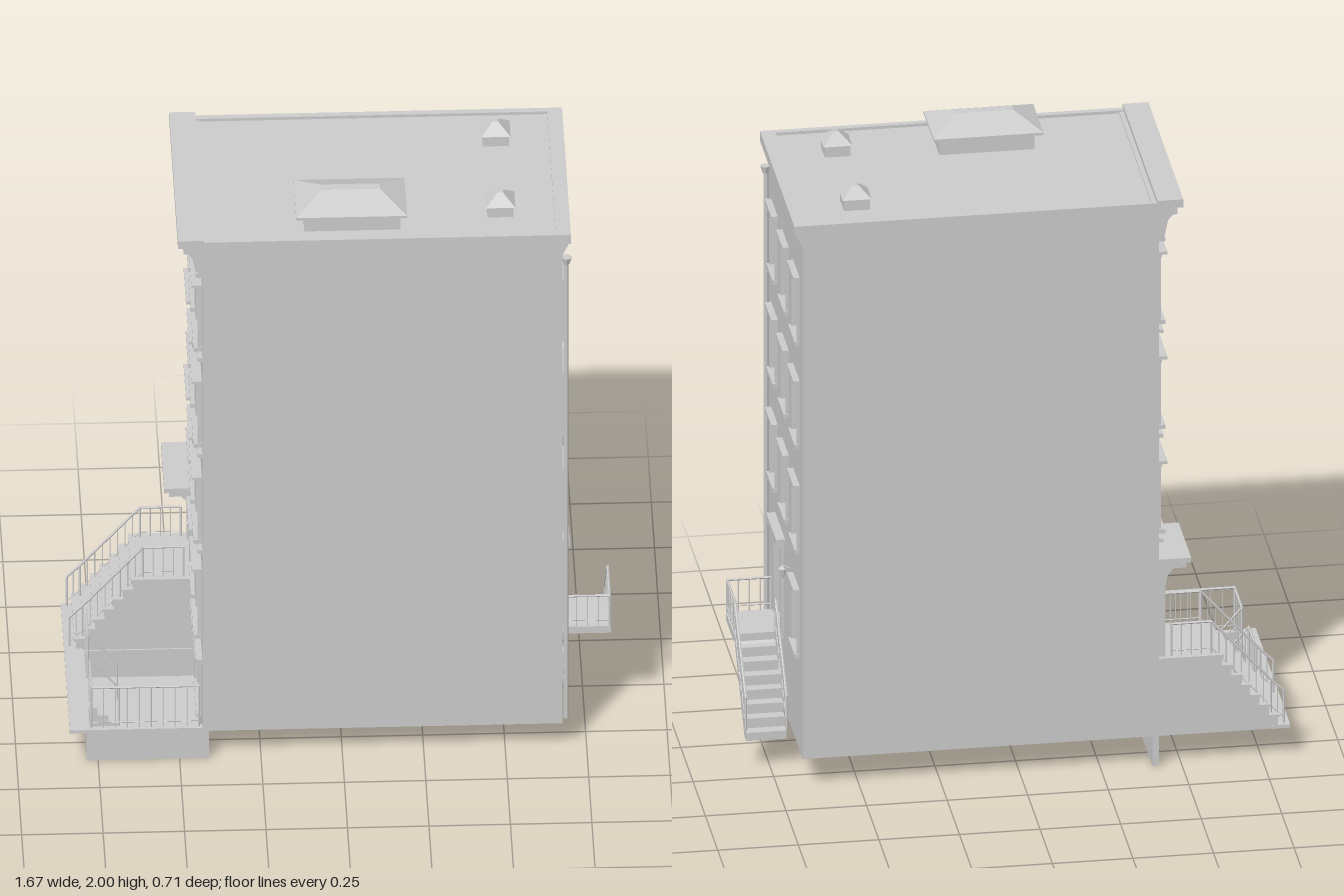
import * as THREE from 'three';

const mat = new THREE.MeshStandardMaterial({ color: 0xcccccc, side: THREE.DoubleSide, flatShading: true });
const V = (x, y, z) => new THREE.Vector3(x, y, z);

function add(parent, name, geo, x = 0, y = 0, z = 0) {
  const m = new THREE.Mesh(geo, mat);
  m.name = name;
  m.position.set(x, y, z);
  parent.add(m);
  return m;
}

// Box given by its lower and upper limits
function box(parent, name, x0, x1, y0, y1, z0, z1) {
  return add(parent, name, new THREE.BoxGeometry(x1 - x0, y1 - y0, z1 - z0), (x0 + x1) / 2, (y0 + y1) / 2, (z0 + z1) / 2);
}

// Round bar between two points
function bar(parent, name, a, b, r = 0.003) {
  const d = b.clone().sub(a);
  const m = add(parent, name, new THREE.CylinderGeometry(r, r, d.length(), 6));
  m.position.copy(a).addScaledVector(d, 0.5);
  m.quaternion.setFromUnitVectors(V(0, 1, 0), d.normalize());
}

// Railing along foot points: rails and evenly spaced balusters
function railing(parent, name, pts, h = 0.11, gap = 0.035) {
  const g = new THREE.Group();
  g.name = name;
  parent.add(g);
  const up = (p, k) => p.clone().add(V(0, k, 0));
  for (let i = 0; i + 1 < pts.length; i++) {
    const a = pts[i], b = pts[i + 1];
    bar(g, 'topRail', up(a, h), up(b, h), 0.004);
    bar(g, 'bottomRail', up(a, 0.02), up(b, 0.02), 0.002);
    const n = Math.max(1, Math.round(a.distanceTo(b) / gap));
    for (let k = 0; k <= n; k++) {
      const p = a.clone().lerp(b, k / n);
      bar(g, 'baluster', p, up(p, h), k % n ? 0.002 : 0.004);
    }
  }
}

function polygon(pts) {
  return new THREE.Shape(pts.map(p => new THREE.Vector2(p[0], p[1])));
}
const extrude = (shape, depth) => new THREE.ExtrudeGeometry(shape, { depth, bevelEnabled: false });

// Wall with openings; outer face at local z = 0
function wall(parent, y0, y1, openings) {
  const s = polygon([[-0.35, y0], [0.35, y0], [0.35, y1], [-0.35, y1]]);
  for (const o of openings) {
    const l = o.u - o.w / 2, r = o.u + o.w / 2, b = Math.max(o.y0, y0 + 0.002);
    s.holes.push(new THREE.Path([[l, b], [l, o.y1], [r, o.y1], [r, b]].map(p => new THREE.Vector2(...p))));
  }
  add(parent, 'facadeWall', extrude(s, 0.02), 0, 0, -0.02);
}

// Casing, hood, sill, and recessed sashes or door leaves
function opening(parent, o) {
  const g = new THREE.Group();
  g.name = o.door ? 'door' : 'window';
  parent.add(g);
  g.position.x = o.u;
  const h = o.w / 2, { y0, y1, trim, out } = o, m = (y0 + y1) / 2;
  for (const s of [-1, 1]) {
    const c = s * (h + trim / 2);
    box(g, 'casing', c - trim / 2, c + trim / 2, y0, y1, 0, out * 0.4);
  }
  box(g, 'lintel', -h - trim, h + trim, y1, y1 + 0.012, 0, out * 0.5);
  box(g, 'hood', -h - trim - 0.006, h + trim + 0.006, y1 + 0.012, y1 + 0.022, 0, out);
  box(g, 'pane', -h, h, y0, y1, -0.024, -0.018);
  for (const s of [-1, 1]) box(g, 'stile', s * (h - 0.005) - 0.005, s * (h - 0.005) + 0.005, y0, y1, -0.018, -0.008);
  if (o.door) {
    box(g, 'meetingStile', -0.003, 0.003, y0, y1 - 0.05, -0.018, -0.012);
    box(g, 'transom', -h, h, y1 - 0.055, y1 - 0.045, -0.018, -0.006);
    for (const s of [-1, 1]) for (const [a, b] of [[0.02, 0.09], [0.11, y1 - y0 - 0.07]])
      box(g, 'doorPanel', s * h / 2 - h * 0.3, s * h / 2 + h * 0.3, y0 + a, y0 + b, -0.018, -0.014);
  } else {
    box(g, 'sill', -h - trim - 0.004, h + trim + 0.004, y0 - 0.014, y0, -0.02, out * 0.8);
    for (const y of [y0 + 0.005, m, y1 - 0.005]) box(g, 'sashRail', -h, h, y - 0.005, y + 0.005, -0.018, -0.008);
  }
}

function lantern(parent, u, y) {
  const g = new THREE.Group();
  g.name = 'wallLantern';
  g.position.set(u, y, 0);
  parent.add(g);
  bar(g, 'arm', V(0, 0.015, 0), V(0, 0.025, 0.02), 0.003);
  add(g, 'lampBody', new THREE.CylinderGeometry(0.011, 0.005, 0.03, 6), 0, 0, 0.02);
  add(g, 'lampCap', new THREE.ConeGeometry(0.013, 0.012, 6), 0, 0.021, 0.02);
}

// Straight-sided hipped block with a flat top
function hip(parent, name, w, d, tw, td, h, x, y, z) {
  const geo = new THREE.BoxGeometry(w, h, d), p = geo.attributes.position;
  for (let i = 0; i < p.count; i++) if (p.getY(i) > 0)
    p.setXYZ(i, Math.sign(p.getX(i)) * tw / 2, h / 2, Math.sign(p.getZ(i)) * td / 2);
  geo.computeVertexNormals();
  add(parent, name, geo, x, y + h / 2, z);
}

export function createModel() {
  const root = new THREE.Group();
  root.name = 'townhouse';
  const FX = -0.43, RX = 0.675;

  // Side walls and roof with a low coping
  for (const s of [-1, 1]) {
    box(root, 'sideWall', FX, RX, 0.1, 1.9, s * 0.345 - 0.005, s * 0.345 + 0.005);
    box(root, 'coping', FX, RX, 1.893, 1.905, s * 0.34 - 0.01, s * 0.34 + 0.01);
  }
  box(root, 'roof', FX, RX, 1.885, 1.895, -0.345, 0.345);

  // Street facade
  const front = new THREE.Group();
  front.name = 'streetFacade';
  front.position.x = FX;
  front.rotation.y = -Math.PI / 2;
  root.add(front);
  const fo = [];
  for (const y of [1.49, 1.135, 0.78]) for (const u of [-0.22, 0, 0.22])
    fo.push({ u, y0: y, y1: y + 0.21, w: 0.13, trim: 0.022, out: 0.032 });
  for (const u of [0, 0.22]) fo.push({ u, y0: 0.43, y1: 0.65, w: 0.13, trim: 0.022, out: 0.032 });
  fo.push({ u: -0.225, y0: 0.36, y1: 0.64, w: 0.15, trim: 0.025, out: 0.04, door: true });
  fo.push({ u: 0.2, y0: 0.13, y1: 0.31, w: 0.15, trim: 0.018, out: 0.022 });
  fo.push({ u: 0, y0: 0, y1: 0.28, w: 0.12, trim: 0.018, out: 0.022, door: true });
  wall(front, 0, 1.9, fo);
  fo.forEach(o => opening(front, o));
  for (const y of [1.465, 1.11, 0.755]) box(front, 'stringCourse', -0.35, 0.35, y, y + 0.012, 0, 0.014);
  box(front, 'waterTable', -0.1, 0.35, 0.345, 0.365, 0, 0.02);
  lantern(front, -0.105, 0.55);

  // Entry hood on brackets
  box(front, 'entryHood', -0.35, -0.1, 0.665, 0.682, 0, 0.085);
  box(front, 'entryHoodTop', -0.352, -0.095, 0.682, 0.698, 0, 0.1);
  const bracket = polygon([[0, 0], [0.02, 0.02], [0.03, 0.07], [0.055, 0.1], [0, 0.1]]);
  const addBracket = (u, y, k) => {
    const b = add(front, 'bracket', extrude(bracket, 0.018), u + 0.009, y, 0);
    b.rotation.y = -Math.PI / 2;
    b.scale.set(k, k, 1);
  };
  for (const u of [-0.325, -0.125]) {
    const b = add(front, 'bracket', extrude(bracket, 0.018), u - 0.009, 0.565, 0);
    b.rotation.y = -Math.PI / 2;
    b.position.x = u + 0.009;
    box(front, 'pilaster', u - 0.012, u + 0.012, 0.36, 0.665, 0, 0.022);
  }

  // Street cornice
  box(front, 'frieze', -0.35, 0.35, 1.79, 1.87, 0, 0.015);
  box(front, 'friezeMoulding', -0.35, 0.35, 1.775, 1.79, 0, 0.02);
  box(front, 'corniceBed', -0.352, 0.352, 1.865, 1.888, 0, 0.058);
  box(front, 'corniceTop', -0.355, 0.355, 1.888, 1.915, -0.005, 0.075);
  for (let i = 0; i < 4; i++) addBracket(-0.33 + i * 0.22, 1.77, 1);
  for (let i = 0; i < 18; i++) {
    const u = -0.323 + i * 0.038;
    box(front, 'dentil', u - 0.009, u + 0.009, 1.848, 1.865, 0.015, 0.035);
  }

  // Rear facade (local u runs towards -z)
  const rear = new THREE.Group();
  rear.name = 'rearFacade';
  rear.position.x = RX;
  rear.rotation.y = Math.PI / 2;
  root.add(rear);
  const ro = [];
  for (const y of [1.485, 1.135, 0.78]) for (const u of [-0.225, 0, 0.222])
    ro.push({ u, y0: y, y1: y + 0.195, w: 0.105, trim: 0.008, out: 0.02 });
  ro.push({ u: 0.222, y0: 0.425, y1: 0.622, w: 0.105, trim: 0.008, out: 0.02 });
  ro.push({ u: -0.11, y0: 0.355, y1: 0.64, w: 0.13, trim: 0.016, out: 0.025, door: true });
  wall(rear, 0.1, 1.9, ro);
  ro.forEach(o => opening(rear, o));
  box(rear, 'doorHood', -0.21, -0.01, 0.655, 0.677, 0, 0.028);
  lantern(rear, 0.065, 0.6);
  const cove = add(rear, 'rearCornice', extrude(polygon([[0, 1.83], [0.02, 1.872], [0.026, 1.872], [0.026, 1.905], [-0.02, 1.905], [-0.02, 1.83]]), 0.7), 0.35, 0, 0);
  cove.rotation.y = -Math.PI / 2;
  // Drainpipe, meter box and vent grille
  bar(rear, 'drainpipe', V(-0.318, 0.1, 0.012), V(-0.318, 1.79, 0.012), 0.008);
  add(rear, 'drainHead', new THREE.CylinderGeometry(0.016, 0.009, 0.025, 8), -0.318, 1.79, 0.014);
  box(rear, 'meterBox', -0.278, -0.238, 0.25, 0.31, 0, 0.012);
  box(rear, 'ventBack', -0.172, -0.055, 0.142, 0.2, 0, 0.003);
  for (const y of [0.142, 0.194]) box(rear, 'ventFrame', -0.172, -0.055, y, y + 0.006, 0, 0.01);
  for (let i = 0; i < 6; i++) box(rear, 'ventBar', -0.172 + i * 0.0222, -0.166 + i * 0.0222, 0.142, 0.2, 0, 0.008);

  // Rear landing, flight and railings
  box(root, 'rearLanding', RX, 0.83, 0.33, 0.355, 0.035, 0.2);
  const n = 7, flight = [[0.035, 0.33], [0.035, 0.355]];
  for (let i = 0; i < n; i++) {
    const z = 0.035 - i * 0.033, y = 0.355 - (i + 1) * 0.0325;
    flight.push([z, y], [z - 0.033, y]);
  }
  flight.push([-0.196, 0.1], [-0.16, 0.1]);
  const rs = add(root, 'rearStairs', extrude(polygon(flight), 0.125), 0.827, 0, 0);
  rs.rotation.y = -Math.PI / 2;
  for (const x of [0.7, 0.826]) railing(root, 'rearStairRail', [V(x, 0.355, 0.035), V(x, 0.13, -0.185)]);
  railing(root, 'rearLandingRail', [V(0.826, 0.355, 0.035), V(0.826, 0.355, 0.195), V(0.69, 0.355, 0.195)]);

  // Roof skylight and two vents
  box(root, 'skylightCurb', -0.115, 0.18, 1.89, 1.955, 0.115, 0.285);
  box(root, 'skylightEave', -0.14, 0.2, 1.95, 1.958, 0.095, 0.305);
  hip(root, 'skylightRoof', 0.34, 0.21, 0.18, 0.03, 0.042, 0.03, 1.958, 0.2);
  for (const z of [-0.2, 0.19]) {
    box(root, 'roofVent', 0.45, 0.53, 1.89, 1.932, z - 0.04, z + 0.04);
    hip(root, 'roofVentCap', 0.09, 0.09, 0.018, 0.018, 0.033, 0.49, 1.932, z);
  }

  // Front stoop: stepped side walls, treads and risers
  const steps = 7, run = 0.029, rise = 0.25 / steps, x0 = -0.8;
  const side = [[x0, 0.1]];
  for (let i = 0; i < steps; i++) {
    const x = x0 + i * run, y = 0.11 + (i + 1) * rise, end = i === steps - 1;
    side.push([x, y], [end ? FX : x + run, y]);
    box(root, 'riser', x, x + 0.005, y - rise, y, -0.345, -0.105);
    box(root, 'tread', x - 0.006, end ? FX : x + run, y - 0.007, y + 0.002, -0.352, -0.098);
  }
  side.push([FX, 0.1]);
  for (const z of [-0.35, -0.11]) add(root, 'stoopSide', extrude(polygon(side), 0.01), 0, 0, z);
  for (const z of [-0.335, -0.115])
    railing(root, 'stoopRail', [V(-0.82, 0.11, z), V(-0.78, 0.15, z), V(-0.595, 0.36, z), V(-0.47, 0.36, z)]);

  // Pavement edge and sunken areaway
  box(root, 'pavement', -0.837, -0.78, 0.1, 0.112, -0.352, 0.35);
  box(root, 'areawayKerb', -0.78, FX, 0.1, 0.112, 0.33, 0.35);
  box(root, 'areawayFloor', -0.785, FX, 0, 0.006, -0.105, 0.35);
  box(root, 'areawayFrontWall', -0.785, -0.775, 0, 0.105, -0.105, 0.35);
  for (const z of [-0.105, 0.34]) box(root, 'areawaySideWall', -0.785, FX, 0, 0.105, z, z + 0.01);
  for (let i = 0; i < 3; i++)
    box(root, 'areawayStep', -0.775, -0.745 + i * 0.033, 0, 0.085 - i * 0.028, 0.05, 0.19);
  railing(root, 'areawayRail', [V(-0.77, 0.112, -0.1), V(-0.77, 0.112, 0.05)], 0.148);
  railing(root, 'areawayRail', [V(-0.77, 0.112, 0.19), V(-0.77, 0.112, 0.338), V(-0.44, 0.112, 0.338)], 0.148);
  for (const z of [0.05, 0.19]) bar(root, 'stepHandrail', V(-0.77, 0.26, z), V(-0.68, 0.16, z));
  for (const z of [0.05, 0.19]) bar(root, 'handrailPost', V(-0.68, 0, z), V(-0.68, 0.16, z));
  return root;
}
